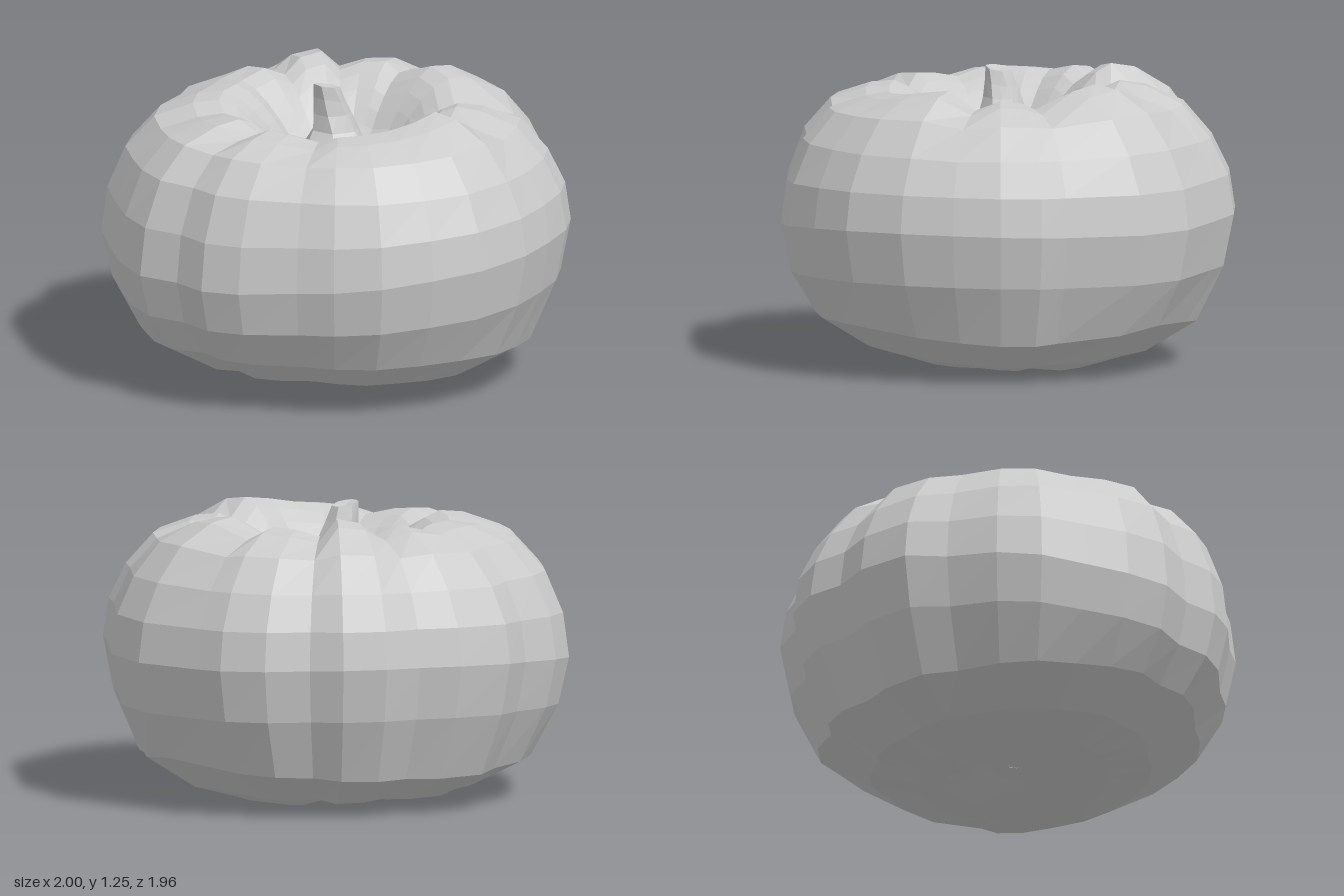
import * as THREE from 'three';

// Ribbed outline seen from above, clockwise from the back: x, z and height of the rib's shoulder.
const RIBS = [
  [-0.25, -0.98, 1.17], [0, -0.98, 1.2], [0.17, -0.92, 1.16], [0.34, -0.92, 1.22], [0.51, -0.84, 1.24],
  [0.6, -0.72, 1.16], [0.77, -0.63, 1.19], [0.89, -0.47, 1.2], [0.92, -0.34, 1.16], [1, -0.02, 1.22],
  [0.96, 0.24, 1.2], [0.78, 0.53, 1.13], [0.73, 0.64, 1.16], [0.6, 0.76, 1.17], [0.42, 0.86, 1.13],
  [0.21, 0.95, 1.21], [-0.06, 0.98, 1.19], [-0.28, 0.92, 1.17], [-0.49, 0.83, 1.16], [-0.64, 0.69, 1.15],
  [-0.73, 0.55, 1.12], [-0.89, 0.36, 1.15], [-0.96, 0.2, 1.16], [-0.95, 0.03, 1.12], [-1, -0.15, 1.17],
  [-0.95, -0.34, 1.16], [-0.86, -0.51, 1.14], [-0.76, -0.68, 1.17], [-0.61, -0.8, 1.18], [-0.4, -0.88, 1.18],
];

// Profile from the underside hollow, round the side, into the top hollow: radius, height.
const PROFILE = [
  [0, 0.075], [0.1, 0.07], [0.2, 0.045], [0.3, 0.025], [0.42, 0.02], [0.62, 0.08], [0.84, 0.22],
  [0.955, 0.41], [1, 0.62], [0.975, 0.8], [0.9, 0.97], [0.78, 1.11], [0.62, 1.18], [0.51, 1.195],
  [0.44, 1.165], [0.38, 1.115], [0.32, 1.05], [0.27, 0.985], [0.22, 0.94], [0.17, 0.92], [0, 0.92],
];

// Joins rings of points, ordered bottom to top and clockwise from above.
function skin(rings) {
  const n = rings[0].length;
  const index = [];
  for (let i = 0; i < rings.length - 1; i++) {
    for (let j = 0; j < n; j++) {
      const a = i * n + j, b = i * n + (j + 1) % n, c = b + n, d = a + n;
      index.push(b, a, d, b, d, c);
    }
  }
  const geometry = new THREE.BufferGeometry();
  geometry.setAttribute('position', new THREE.Float32BufferAttribute(rings.flat(2), 3));
  geometry.setIndex(index);
  geometry.computeVertexNormals();
  return geometry;
}

const bump = (v, centre, width) => Math.exp(-(((v - centre) / width) ** 2));

function bodyGeometry() {
  return skin(PROFILE.map(([r, h]) => RIBS.map(([x, z, shoulder]) => {
    let y = h;
    if (h > 0.85) {
      // Each rib rises to its own shoulder height.
      y += (shoulder - 1.19) * bump(r, 0.54, 0.24);
    } else if (h > 0.3) {
      // The widest line leans up to the left side, and to front and back.
      y += bump(h, 0.6, 0.25) * (0.04 * x + 0.06 * z * z - 0.02);
    } else {
      // Shallow grooves run on under the base, which is fuller at the back and front left.
      const groove = THREE.MathUtils.clamp((0.985 - Math.hypot(x, z)) / 0.06, 0, 1);
      const fullness = 0.07 * Math.max(0, -z) + 0.12 * Math.max(0, x) * Math.max(0, z);
      y += bump(r, 0.45, 0.22) * (0.02 * groove - 0.02 * x) - bump(r, 0.78, 0.2) * fullness;
    }
    return [r * x, y, r * z];
  })));
}

// Short crooked stem on a flared foot: centre x, height, centre z, radius.
const STEM = [
  [-0.02, 0.91, -0.02, 0.2], [-0.02, 0.95, -0.02, 0.18], [-0.02, 0.99, -0.02, 0.135],
  [-0.01, 1.05, -0.03, 0.1], [-0.02, 1.12, -0.04, 0.08], [-0.03, 1.18, -0.045, 0.068],
  [-0.045, 1.24, -0.045, 0.055], [-0.045, 1.23, -0.045, 0],
];

function stemGeometry() {
  const sides = 12;
  return skin(STEM.map(([cx, y, cz, r], i) => Array.from({ length: sides }, (_, j) => {
    const a = (j / sides) * Math.PI * 2 + i * 0.1;
    const q = r * (j % 2 ? 0.92 : 1.03);
    const tilt = i > 4 ? -0.2 * Math.cos(a) * r : 0;
    return [cx + q * Math.cos(a), y + tilt, cz + q * Math.sin(a)];
  })));
}

export function createModel() {
  const group = new THREE.Group();
  group.name = 'pumpkin';
  const material = new THREE.MeshStandardMaterial({ color: 0xcccccc, flatShading: true });
  const add = (name, geometry) => {
    const mesh = new THREE.Mesh(geometry, material);
    mesh.name = name;
    group.add(mesh);
  };
  add('ribbedBody', bodyGeometry());
  add('stem', stemGeometry());
  return group;
}
